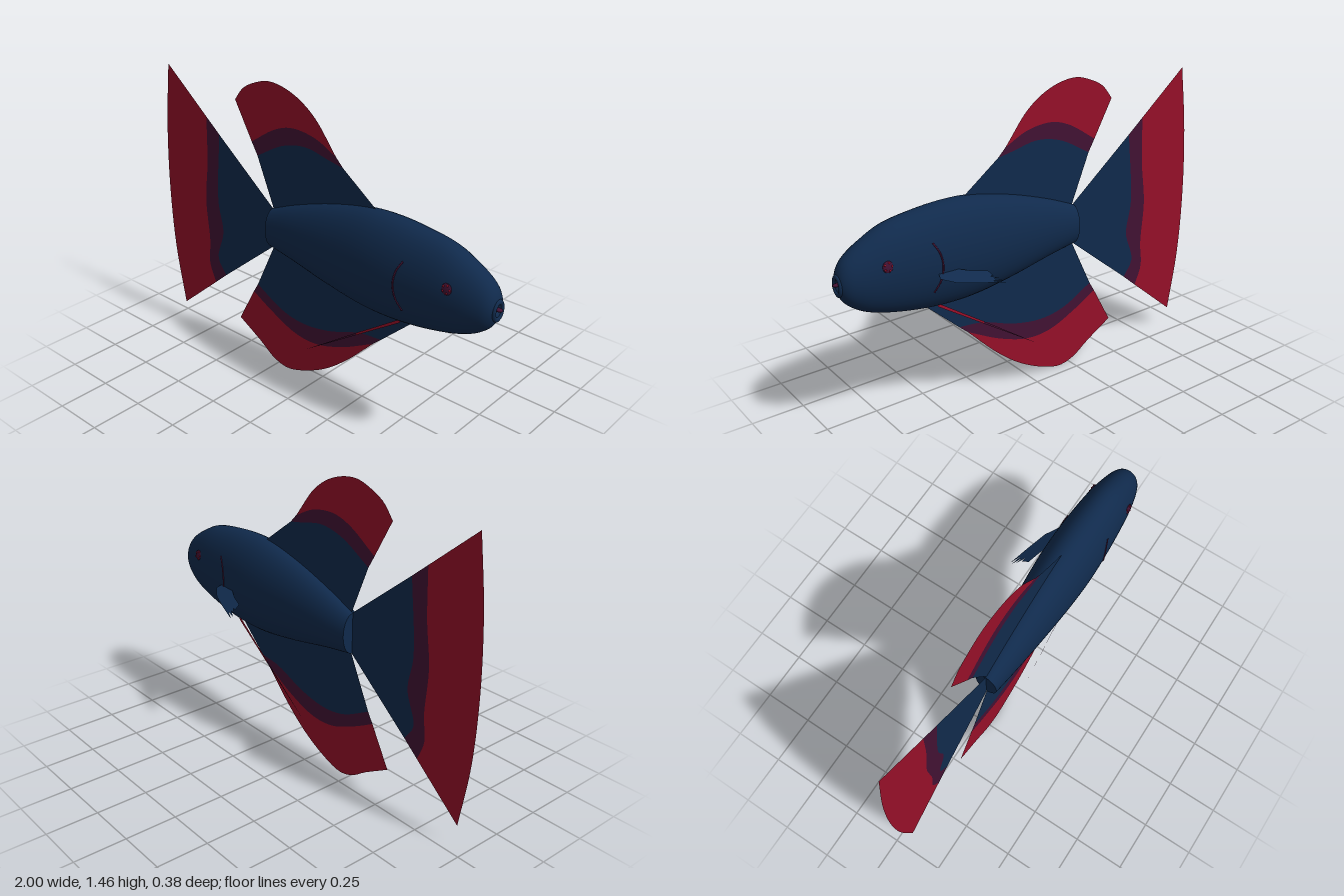
import * as THREE from 'three';

const Z0 = 0.06; // centre plane of the body

function material(name, color, side = THREE.FrontSide) {
  const m = new THREE.MeshStandardMaterial({ color, side });
  m.name = name;
  return m;
}

// Body stations: x, top y, bottom y, half width
const STATIONS = [
  [-0.26, 0.855, 0.66, 0.055], [-0.1, 0.92, 0.635, 0.08], [0.1, 0.985, 0.595, 0.103],
  [0.3, 1.03, 0.565, 0.12], [0.45, 1.04, 0.56, 0.125], [0.6, 1.03, 0.572, 0.12],
  [0.75, 1.005, 0.6, 0.108], [0.86, 0.955, 0.635, 0.092], [0.93, 0.91, 0.677, 0.073],
  [0.965, 0.87, 0.715, 0.052], [0.98, 0.825, 0.755, 0.027], [0.97, 0.8, 0.778, 0.006],
];

// Smoothly resampled body stations
function sampleStations(n) {
  const curve = (k) => new THREE.CatmullRomCurve3(
    STATIONS.map((s) => new THREE.Vector3(s[0], s[k], s[3])), false, 'catmullrom').getPoints(n);
  const top = curve(1), bottom = curve(2);
  return top.map((p, i) => ({
    x: p.x, cy: (p.y + bottom[i].y) / 2, hy: (p.y - bottom[i].y) / 2, hz: p.z,
  }));
}

function gridIndex(rows, cols, wrap) {
  const index = [];
  const stride = wrap ? cols : cols + 1;
  for (let i = 0; i < rows; i++) {
    for (let j = 0; j < cols; j++) {
      const k = wrap ? (j + 1) % cols : j + 1;
      const a = i * stride + j, b = i * stride + k;
      index.push(a, b, a + stride, b, b + stride, a + stride);
    }
  }
  return index;
}

function buildGeometry(position, index) {
  const g = new THREE.BufferGeometry();
  g.setAttribute('position', new THREE.Float32BufferAttribute(position, 3));
  g.setIndex(index);
  g.computeVertexNormals();
  return g;
}

export function createModel() {
  const model = new THREE.Group();
  const navy = material('navy', 0x102a4c);
  const navyFin = material('navy fin', 0x102a4c, THREE.DoubleSide);
  const purple = material('dark purple', 0x421233, THREE.DoubleSide);
  const red = material('crimson', 0x960f28, THREE.DoubleSide);

  function add(name, geometry, mat, parent = model) {
    const mesh = new THREE.Mesh(geometry, mat);
    mesh.name = name;
    parent.add(mesh);
    return mesh;
  }

  // Body: oval rings lofted from the tail root to the snout
  const rings = sampleStations(66);
  const SEG = 40;
  const position = [];
  for (const r of rings) {
    for (let j = 0; j < SEG; j++) {
      const a = (j / SEG) * Math.PI * 2;
      position.push(r.x, r.cy + Math.cos(a) * r.hy, Z0 + Math.sin(a) * r.hz);
    }
  }
  add('body', buildGeometry(position, gridIndex(rings.length - 1, SEG, true)), navy);
  const tailCap = new THREE.CircleGeometry(1, SEG);
  tailCap.scale(rings[0].hz, rings[0].hy, 1).rotateY(-Math.PI / 2);
  tailCap.translate(rings[0].x, rings[0].cy, Z0);
  add('tailRoot', tailCap, navy);

  // Point and outward direction on the body's side
  function onBody(x, y, side) {
    const i = Math.max(1, rings.findIndex((r) => r.x >= x));
    const p = rings[i - 1], q = rings[i];
    const t = (x - p.x) / (q.x - p.x);
    const mix = (k) => THREE.MathUtils.lerp(p[k], q[k], t);
    const s = (y - mix('cy')) / mix('hy');
    const c = Math.sqrt(Math.max(0, 1 - s * s));
    return {
      point: new THREE.Vector3(x, y, Z0 + side * mix('hz') * c),
      normal: new THREE.Vector3(0.1, s / mix('hy'), side * c / mix('hz')).normalize(),
    };
  }

  // Banded fins: each band is ruled between neighbouring curves, root to rim
  function bandedFin(name, rows) {
    const fin = new THREE.Group();
    fin.name = name;
    model.add(fin);
    const N = 32;
    const curves = rows.map((row) => new THREE.CatmullRomCurve3(
      row.map(([x, y]) => new THREE.Vector3(x, y, Z0))).getSpacedPoints(N));
    [navyFin, purple, red].forEach((mat, i) => {
      const pts = [...curves[i], ...curves[i + 1]].flatMap((p) => [p.x, p.y, p.z]);
      add(name + ['Base', 'Band', 'Rim'][i], buildGeometry(pts, gridIndex(1, N, false)), mat, fin);
    });
  }

  bandedFin('tailFin', [
    [[-0.25, 0.85], [-0.25, 0.665]],
    [[-0.605, 1.135], [-0.635, 0.78], [-0.61, 0.62], [-0.655, 0.46], [-0.605, 0.378]],
    [[-0.69, 1.205], [-0.7, 0.97], [-0.725, 0.76], [-0.712, 0.54], [-0.722, 0.41], [-0.685, 0.31]],
    [[-0.945, 1.415], [-0.985, 1.1], [-1, 0.76], [-0.985, 0.42], [-0.935, 0.1]],
  ]);
  bandedFin('dorsalFin', [
    [[-0.25, 0.85], [0.05, 0.95], [0.36, 1.03]],
    [[-0.35, 1.095], [-0.18, 1.185], [-0.045, 1.21], [0.09, 1.185], [0.17, 1.17]],
    [[-0.385, 1.155], [-0.23, 1.25], [-0.125, 1.28], [0.01, 1.265], [0.13, 1.21]],
    [[-0.485, 1.335], [-0.43, 1.4], [-0.355, 1.44], [-0.26, 1.465], [-0.125, 1.44],
      [0, 1.365], [0.13, 1.21]],
  ]);
  bandedFin('analFin', [
    [[-0.25, 0.67], [0.2, 0.6], [0.58, 0.575]],
    [[-0.375, 0.41], [-0.205, 0.325], [-0.07, 0.305], [0.09, 0.33], [0.275, 0.395], [0.4, 0.41]],
    [[-0.405, 0.36], [-0.285, 0.295], [-0.125, 0.23], [0.01, 0.225], [0.17, 0.275], [0.355, 0.37]],
    [[-0.51, 0.17], [-0.365, 0.085], [-0.275, 0.025], [-0.19, 0.005], [-0.09, 0.03],
      [0.06, 0.105], [0.195, 0.21], [0.355, 0.37]],
  ]);

  // Slender pelvic fins, splayed below the belly
  for (const side of [1, -1]) {
    const at = (x, y, out) => [x, y, Z0 + side * out];
    const name = side > 0 ? 'leftPelvicFin' : 'rightPelvicFin';
    add(name + 'Root', buildGeometry([
      ...at(0.55, 0.6, 0.04), ...at(0.53, 0.57, 0.043),
      ...at(0.3, 0.43, 0.052), ...at(0.3, 0.418, 0.052)], [0, 1, 2, 1, 3, 2]), red);
    add(name + 'Tip', buildGeometry([
      ...at(0.3, 0.43, 0.052), ...at(0.3, 0.418, 0.052), ...at(0, 0.22, 0.062)], [0, 1, 2]), purple);
  }

  // Pectoral fin with ragged tips, lying in one sloping plane
  const outline = [
    [0.57, -0.06], [0.578, -0.085], [0.52, -0.125], [0.43, -0.155], [0.315, -0.19],
    [0.365, -0.165], [0.315, -0.178], [0.36, -0.153], [0.325, -0.163], [0.365, -0.138],
    [0.345, -0.142], [0.355, -0.11], [0.42, -0.09], [0.48, -0.06],
  ];
  const pectoral = new THREE.ShapeGeometry(
    new THREE.Shape(outline.map(([x, z]) => new THREE.Vector2(x, z))));
  const pp = pectoral.attributes.position;
  for (let i = 0; i < pp.count; i++) {
    const z = pp.getY(i);
    pp.setXYZ(i, pp.getX(i), 0.765 + 0.48 * (z + 0.065), z);
  }
  pectoral.computeVertexNormals();
  add('pectoralFin', pectoral, navyFin);

  // Gill slits and speckled eyes
  for (const side of [1, -1]) {
    const prefix = side > 0 ? 'left' : 'right';
    const gill = [[0.585, 0.91], [0.558, 0.86], [0.547, 0.8], [0.557, 0.735], [0.585, 0.68]]
      .map(([x, y]) => onBody(x, y, side).point);
    add(prefix + 'Gill', new THREE.TubeGeometry(
      new THREE.CatmullRomCurve3(gill), 24, 0.004, 6), purple);

    const { point, normal } = onBody(0.795, 0.855, side);
    const eye = new THREE.Group();
    eye.name = prefix + 'Eye';
    eye.position.copy(point);
    eye.lookAt(point.clone().add(normal));
    model.add(eye);
    add('iris', new THREE.SphereGeometry(0.025, 20, 12).scale(1, 1, 0.25), purple, eye);
    for (let i = 0; i < 5; i++) {
      const a = (i / 5) * Math.PI * 2;
      const dot = add('eyeSpeck', new THREE.SphereGeometry(0.005, 8, 6), red, eye);
      dot.position.set(Math.cos(a) * 0.017, Math.sin(a) * 0.017, 0.003);
    }
  }

  // Mouth: rounded lips around a small tongue
  const lips = add('lips', new THREE.TorusGeometry(0.03, 0.009, 10, 28), navy);
  lips.rotation.y = Math.PI / 2;
  lips.scale.y = 1.3;
  lips.position.set(0.978, 0.785, Z0);
  const tongue = add('tongue', new THREE.SphereGeometry(0.014, 12, 8).scale(1.4, 0.5, 1), purple);
  tongue.position.set(0.98, 0.79, Z0);

  return model;
}
